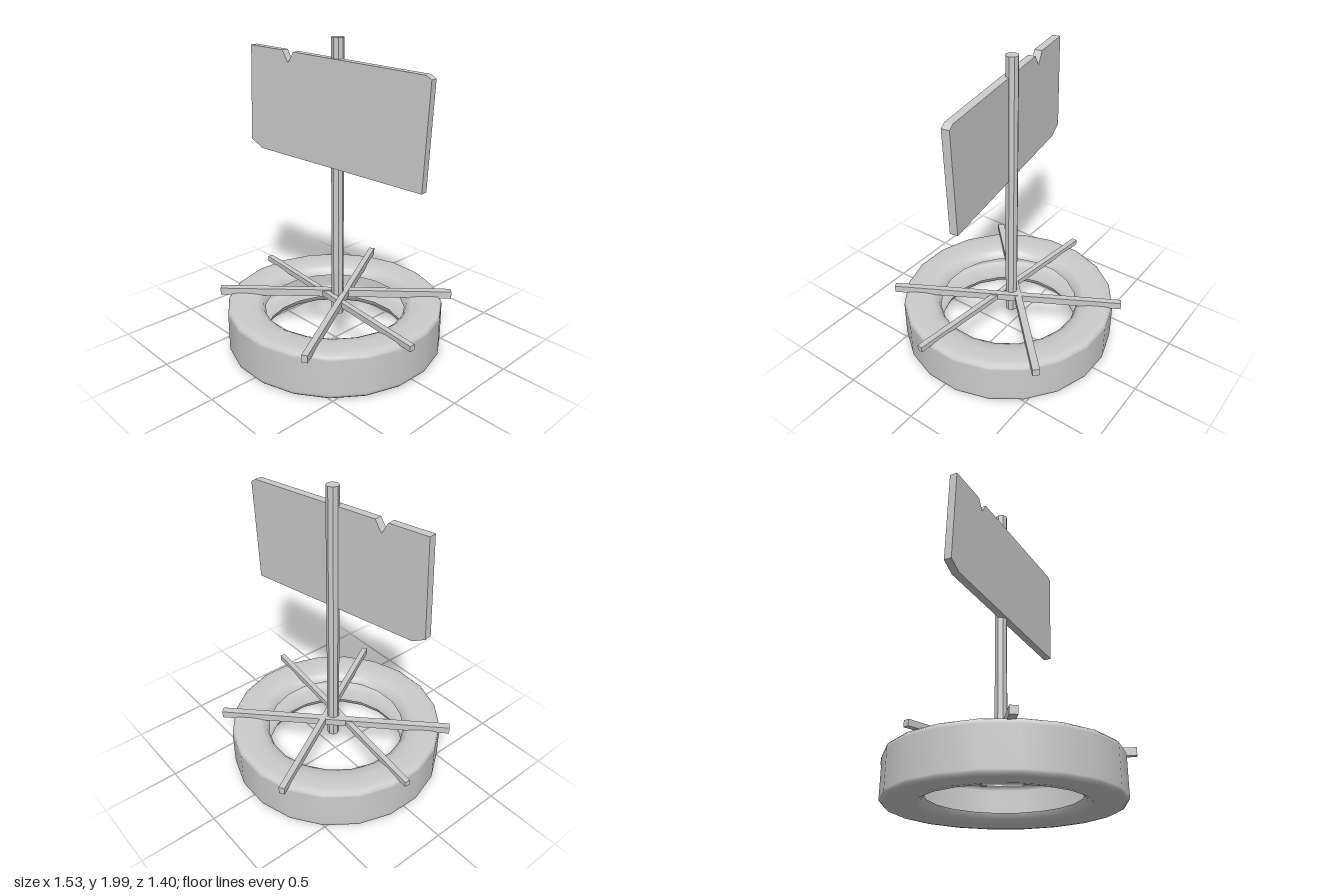
import * as THREE from 'three';

const grey = new THREE.MeshStandardMaterial({ color: 0xcccccc });
const greyFlat = new THREE.MeshStandardMaterial({ color: 0xcccccc, flatShading: true });
const greyShell = new THREE.MeshStandardMaterial({ color: 0xcccccc, side: THREE.DoubleSide });

function add(group, name, geometry, material) {
  const mesh = new THREE.Mesh(geometry, material);
  mesh.name = name;
  group.add(mesh);
  return mesh;
}

// Flat bar laid between two ground points
function bar(group, name, [x1, z1], [x2, z2], width, bottom, top) {
  const length = Math.hypot(x2 - x1, z2 - z1);
  const mesh = add(group, name, new THREE.BoxGeometry(length, top - bottom, width), grey);
  mesh.position.set((x1 + x2) / 2, (bottom + top) / 2, (z1 + z2) / 2);
  mesh.rotation.y = -Math.atan2(z2 - z1, x2 - x1);
}

export function createModel() {
  const model = new THREE.Group();
  model.name = 'tireSign';

  // Tire: hollow shell open towards the hole, mirrored about its mid height
  const mid = 0.157;
  const upper = [
    [0.706, 0.115], [0.704, 0.132], [0.69, 0.145], [0.65, 0.15],
    [0.57, 0.15], [0.51, 0.142], [0.475, 0.122], [0.46, 0.085],
  ];
  const profile = [
    ...upper.slice().reverse().map(([r, h]) => new THREE.Vector2(r, mid - h)),
    ...upper.map(([r, h]) => new THREE.Vector2(r, mid + h)),
  ];
  const tire = add(model, 'tire',
    new THREE.LatheGeometry(profile, 20, THREE.MathUtils.degToRad(8)), greyShell);
  tire.position.x = -0.008;

  // Three crossed bars resting on the tire
  bar(model, 'crossBarSide', [-0.765, -0.062], [0.762, 0.114], 0.037, 0.298, 0.335);
  bar(model, 'crossBarDiagonal', [-0.594, 0.496], [0.507, -0.577], 0.046, 0.294, 0.342);
  bar(model, 'crossBarLong', [-0.326, -0.69], [0.42, 0.642], 0.038, 0.296, 0.344);

  // Octagonal post
  const post = add(model, 'post', new THREE.CylinderGeometry(0.04, 0.04, 1.81, 8), greyFlat);
  post.position.set(-0.008, 1.095, -0.025);
  post.rotation.y = 0.15;

  // Crooked sign board with a notch and two chipped corners
  const outline = [
    [-0.66, 1.905], [-0.395, 1.895], [-0.352, 1.82], [-0.307, 1.89], [0.63, 1.853],
    [0.665, 1.832], [0.635, 1.18], [-0.6, 1.235], [-0.687, 1.285],
  ];
  const shape = new THREE.Shape(outline.map(([x, y]) => new THREE.Vector2(x, y)));
  const boardGeometry = new THREE.ExtrudeGeometry(shape, { depth: 0.05, bevelEnabled: false });
  boardGeometry.translate(0, 0, -0.025);
  const board = add(model, 'signBoard', boardGeometry, grey);
  board.rotation.y = 0.147;

  return model;
}
